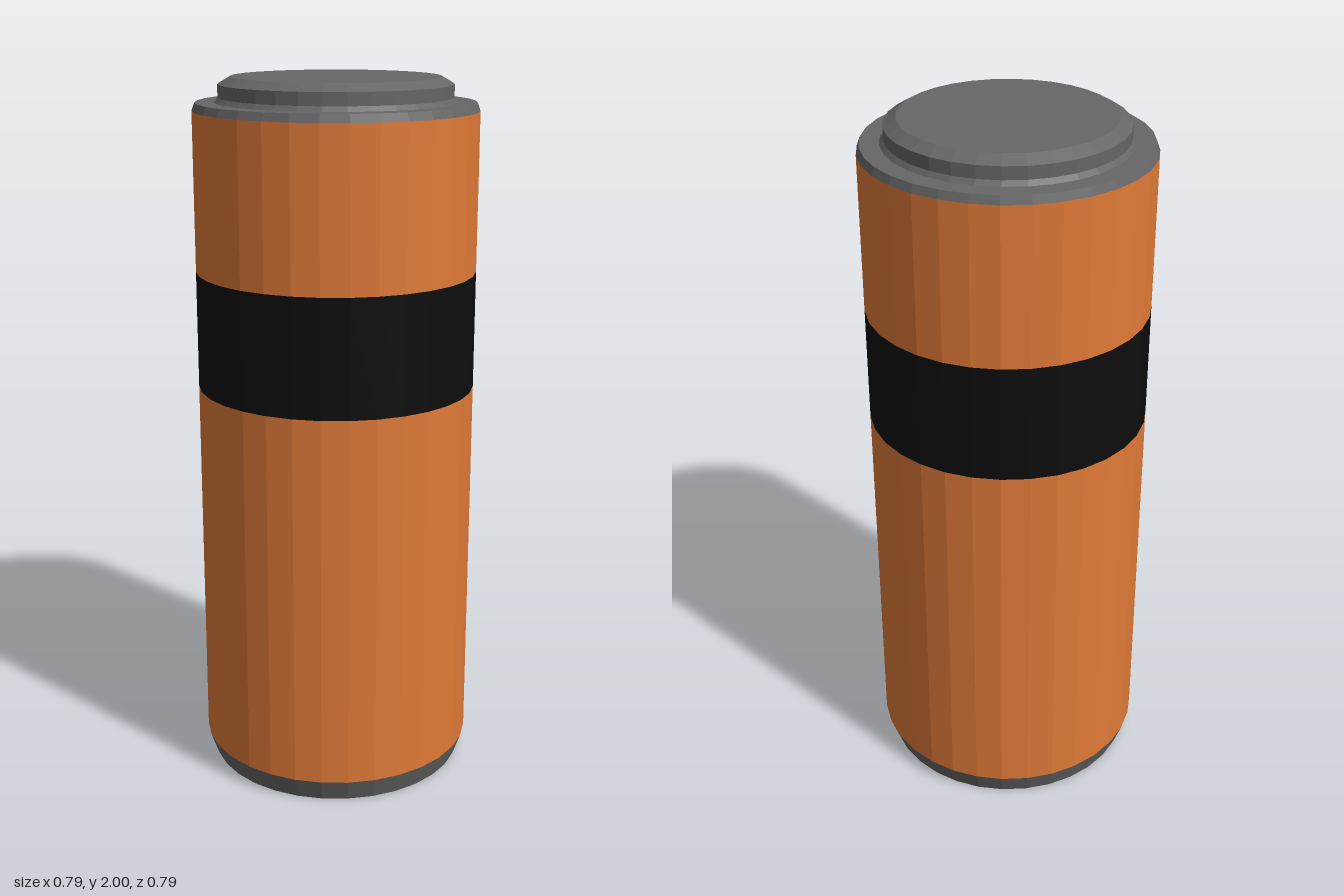
import * as THREE from 'three';

const SIDES = 32;
const R = 0.393;

const DARK_GREY = 0x666666;
const ORANGE = 0xe07a38;
const BLACK = 0x0d0d0d;

// Faceted solid of revolution; the profile is [radius, height] from bottom to top
function turned(name, color, profile) {
  const points = profile.map(([r, y]) => new THREE.Vector2(r, y));
  const mesh = new THREE.Mesh(
    new THREE.LatheGeometry(points, SIDES),
    new THREE.MeshStandardMaterial({ color, flatShading: true })
  );
  mesh.name = name;
  return mesh;
}

export function createModel() {
  const group = new THREE.Group();
  group.name = 'canister';

  group.add(
    // Tapered foot with a closed underside
    turned('base', DARK_GREY, [[0, 0], [0.37, 0], [R, 0.065]]),
    // Painted shell, split by the dark band
    turned('lowerBody', ORANGE, [[R, 0.065], [R, 1.14]]),
    turned('band', BLACK, [[R, 1.14], [R, 1.47]]),
    turned('upperBody', ORANGE, [[R, 1.47], [R, 1.91]]),
    // Bevelled shoulder ring
    turned('shoulder', DARK_GREY, [[R, 1.91], [0.385, 1.932], [0.332, 1.932]]),
    // Raised lid with a flared foot and a bevelled top edge
    turned('lid', DARK_GREY, [[0.332, 1.932], [0.322, 1.945], [0.322, 1.98], [0.288, 2], [0, 2]])
  );

  return group;
}
